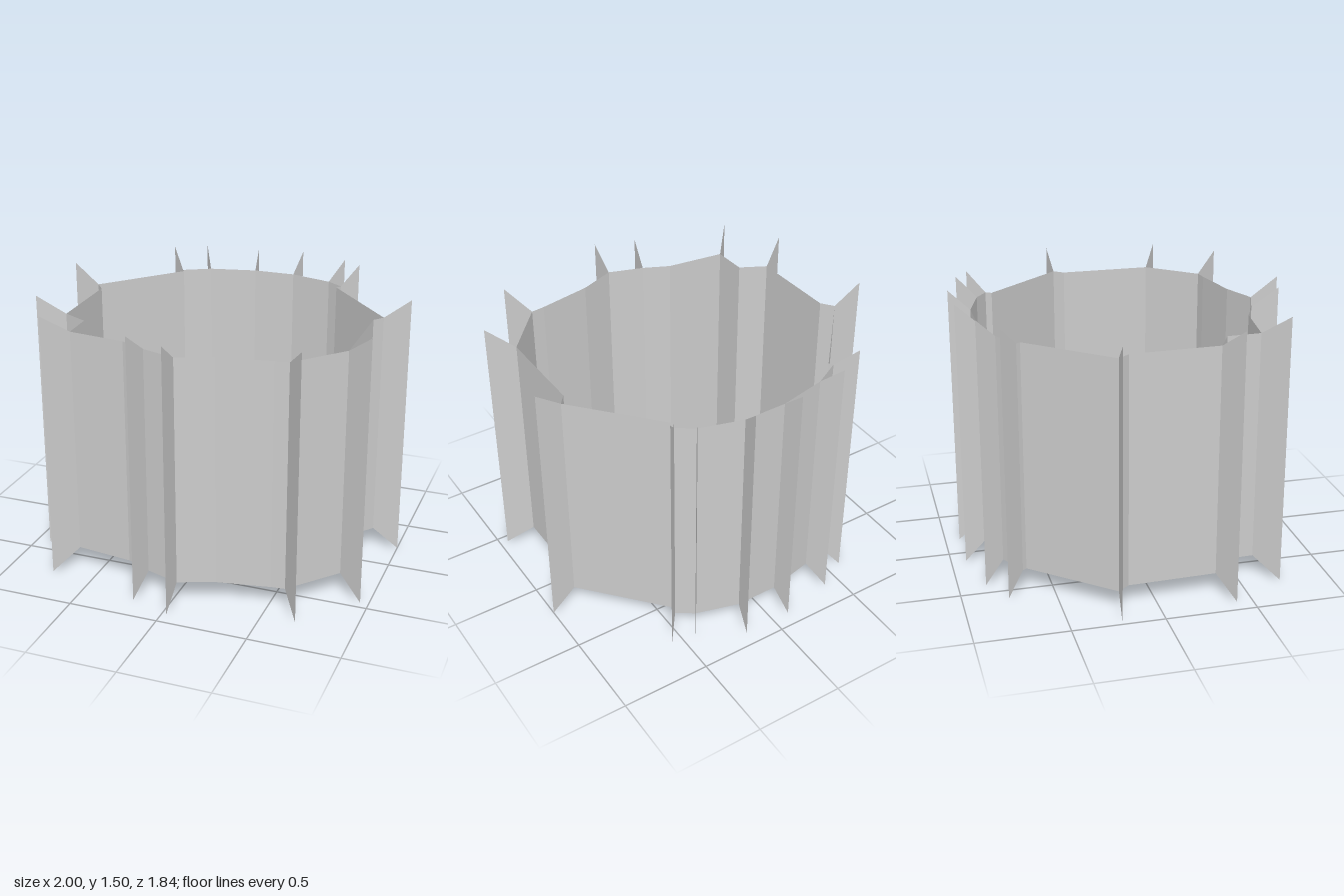
import * as THREE from 'three';

const HEIGHT = 1.5, SHRINK = 0.853;
const CENTRE = { x: 0.017, z: -0.115 };

// Fin tips around the plan [x, z]; entries marked true are wall corners without a fin
const PLAN = [
  [-0.743, 0.72], [-0.64, 0.41, true], [-0.92, 0.414], [-0.8, -0.15, true],
  [-1.0, -0.232], [-0.483, -0.637, true], [-0.587, -0.753], [-0.412, -0.85],
  [-0.102, -0.917], [0.178, -0.918], [0.459, -0.837], [0.566, -0.763],
  [0.467, -0.635, true], [1.0, -0.212], [0.812, -0.143, true], [0.954, 0.454],
  [0.686, 0.763], [0.512, 0.642, true], [0.22, 0.695, true],
  [0.025, 0.922], [-0.198, 0.848], [-0.31, 0.64, true],
];

const material = new THREE.MeshStandardMaterial({
  color: 0xcccccc, flatShading: true, side: THREE.DoubleSide,
});

// Upright sheet between two plan points, each with its own bottom and top
function sheet(name, a, b) {
  const geometry = new THREE.BufferGeometry();
  const corners = [
    a.x, a.low, a.z, b.x, b.low, b.z, b.x, b.high, b.z,
    a.x, a.low, a.z, b.x, b.high, b.z, a.x, a.high, a.z,
  ];
  geometry.setAttribute('position', new THREE.Float32BufferAttribute(corners, 3));
  geometry.computeVertexNormals();
  const mesh = new THREE.Mesh(geometry, material);
  mesh.name = name;
  return mesh;
}

export function createModel() {
  const model = new THREE.Group();
  model.name = 'finnedRing';
  const wall = new THREE.Group();
  wall.name = 'ringWall';
  const fins = new THREE.Group();
  fins.name = 'fins';
  model.add(wall, fins);

  // Wall corners lie on the tips shrunk towards the centre
  const margin = HEIGHT * (1 - SHRINK) / 2;
  const corners = PLAN.map(([x, z, plain]) => ({
    x: plain ? x : CENTRE.x + (x - CENTRE.x) * SHRINK,
    z: plain ? z : CENTRE.z + (z - CENTRE.z) * SHRINK,
    low: margin, high: HEIGHT - margin,
  }));

  PLAN.forEach(([x, z, plain], i) => {
    // Wall panel to the next corner
    wall.add(sheet('wallPanel', corners[i], corners[(i + 1) % corners.length]));
    // Flared radial fin
    if (!plain) fins.add(sheet('fin', corners[i], { x, z, low: 0, high: HEIGHT }));
  });
  return model;
}
